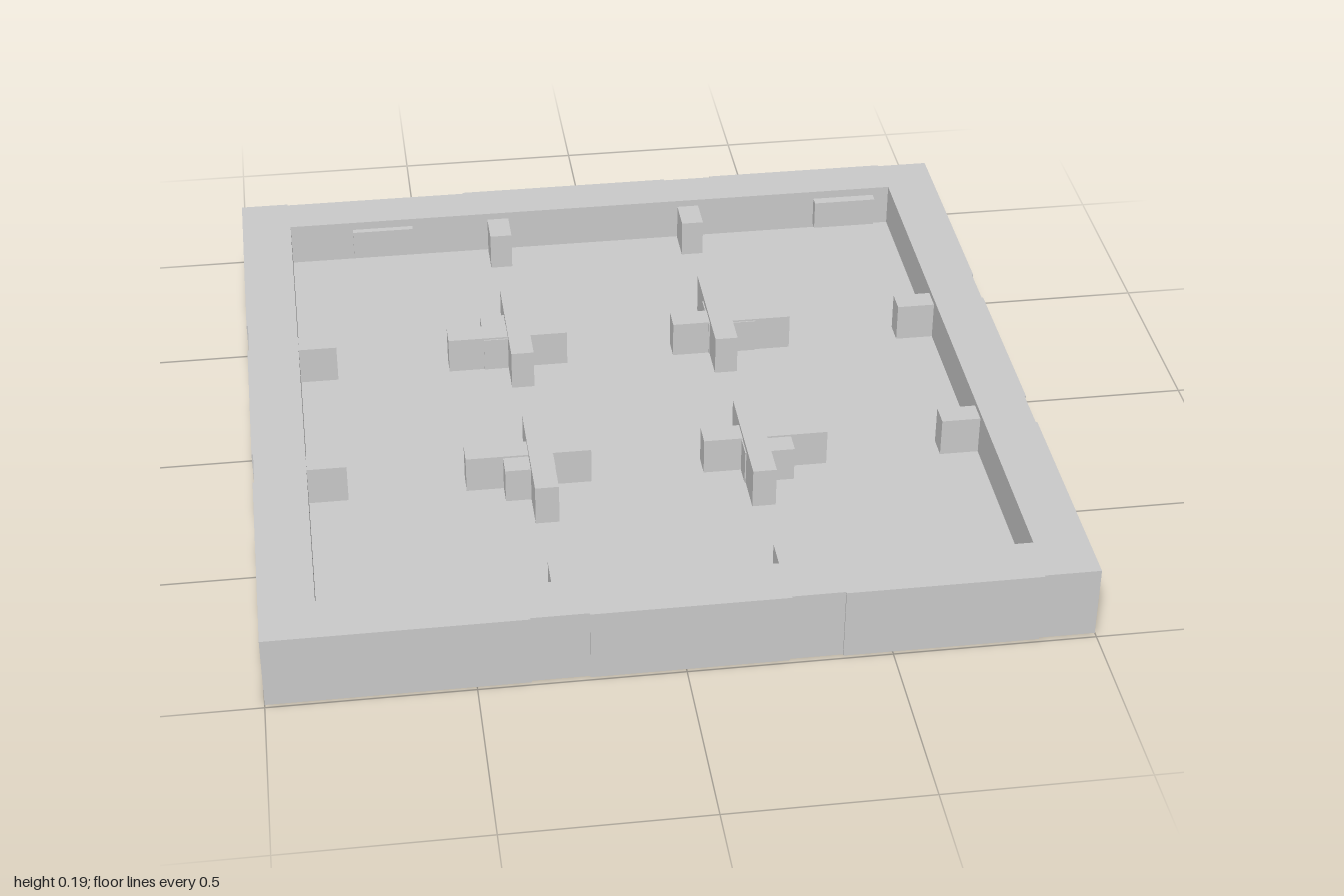
import * as THREE from 'three';

const FLOOR = 0.072;
const WALL = 0.19;

export function createModel() {
  const model = new THREE.Group();
  model.name = 'walledTile';
  const material = new THREE.MeshStandardMaterial({ color: 0xcccccc, flatShading: true });

  // Box given by its extents on each axis
  function block(parent, name, [x0, x1], [y0, y1], [z0, z1]) {
    const mesh = new THREE.Mesh(new THREE.BoxGeometry(x1 - x0, y1 - y0, z1 - z0), material);
    mesh.position.set((x0 + x1) / 2, (y0 + y1) / 2, (z0 + z1) / 2);
    mesh.name = name;
    parent.add(mesh);
    return mesh;
  }
  const span = (a, b) => [Math.min(a, b), Math.max(a, b)];

  // Floor slab
  block(model, 'floor', [-0.865, 0.865], [0, FLOOR], [-0.862, 0.855]);

  // Rim walls, in segments whose outer faces step slightly at the seams
  const frontSeams = [-1, -0.37, -0.23, 0.25, 0.38, 0.86, 1];
  const backSeams = [-1, -0.87, -0.365, 0.225, 0.36, 0.86, 1];
  const sideSeams = [-0.862, -0.36, -0.24, 0.24, 0.36, 0.855];
  const rim = new THREE.Group();
  rim.name = 'rim';
  model.add(rim);
  for (let i = 0; i < 6; i++) {
    const step = i % 2 ? 0.005 : 0;
    block(rim, 'frontWall', [frontSeams[i], frontSeams[i + 1]], [0, WALL], [0.855, 0.99 - step]);
    block(rim, 'backWall', [backSeams[i], backSeams[i + 1]], [0, WALL], [-0.99 + step, -0.862]);
  }
  for (const side of [-1, 1]) {
    for (let i = 0; i < 5; i++) {
      const outer = side * (i % 2 ? 0.996 : 1);
      block(rim, side > 0 ? 'leftWall' : 'rightWall',
        span(side * 0.865, outer), [0, WALL], [sideSeams[i], sideSeams[i + 1]]);
    }
  }

  // Four cross-shaped studs, each with a corner block facing outward
  for (const sx of [-1, 1]) {
    for (const sz of [-1, 1]) {
      const cross = new THREE.Group();
      cross.name = 'crossStud';
      model.add(cross);
      const y = (top) => [FLOOR, top];
      block(cross, 'crossArmX', span(sx * 0.145, sx * 0.465), y(0.17), span(sz * 0.245, sz * 0.305));
      block(cross, 'crossArmZ', span(sx * 0.245, sx * 0.305), y(0.18), span(sz * 0.145, sz * 0.465));
      block(cross, 'crossCorner', span(sx * 0.242, sx * 0.37), y(0.165), span(sz * 0.242, sz * 0.362));

      // Pegs standing against the walls
      block(model, 'sidePeg', span(sx * 0.765, sx * 0.865), y(0.175), span(sz * 0.245, sz * 0.305));
      block(model, 'endPeg', span(sx * 0.245, sx * 0.305), y(0.175), span(sz * 0.76, sz * 0.855));
    }
  }

  // Thin plates on the inner faces of the front and back walls
  const plates = [
    [[-0.69, -0.52], [-0.862, -0.845]],
    [[0.645, 0.82], [-0.862, -0.835]],
    [[-0.715, -0.545], [0.833, 0.855]],
    [[0.645, 0.82], [0.838, 0.855]],
  ];
  for (const [x, z] of plates) block(model, 'wallPlate', x, [0.085, 0.167], z);

  return model;
}
